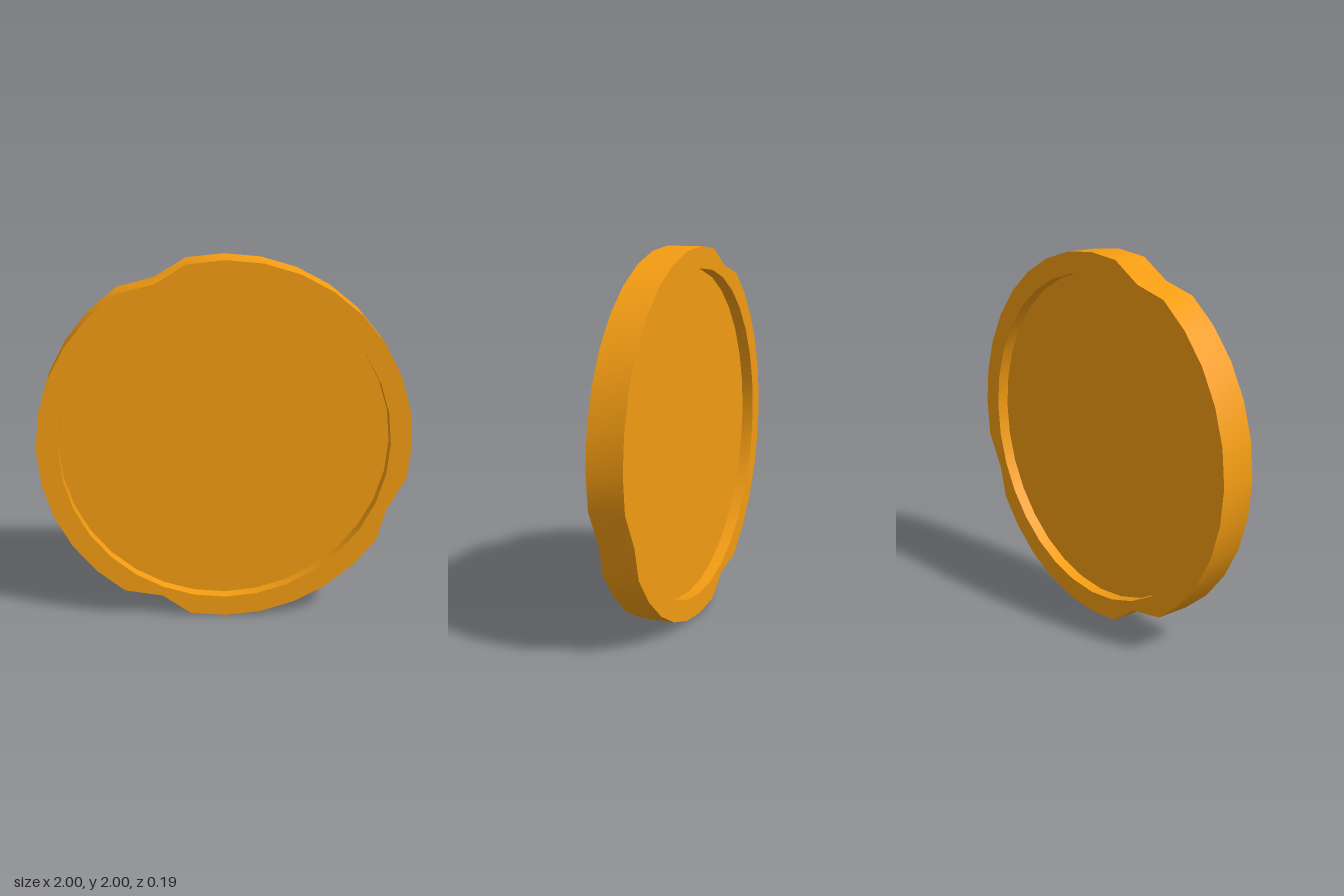
import * as THREE from 'three';
import { toCreasedNormals } from 'three/addons/utils/BufferGeometryUtils.js';

const SIDES = 32;
const THICKNESS = 0.19;
const RECESS = 0.065;
const INNER_RADIUS = 0.885;

// Regular polygon points around the origin
function ringPoints(radius) {
  return Array.from({ length: SIDES }, (_, i) => {
    const a = (i / SIDES) * Math.PI * 2;
    return new THREE.Vector2(Math.cos(a) * radius, Math.sin(a) * radius);
  });
}

export function createModel() {
  const coin = new THREE.Group();
  coin.name = 'coin';
  const gold = new THREE.MeshStandardMaterial({ color: 0xf39c12 });

  // Raised rim with three worn dents in its outer edge
  const outline = ringPoints(1);
  outline[10].set(-0.364, 0.88);
  outline[22].set(-0.348, -0.869);
  outline[30].set(0.877, -0.382);
  const shape = new THREE.Shape(outline);
  shape.holes.push(new THREE.Path(ringPoints(INNER_RADIUS).reverse()));
  const rimGeometry = new THREE.ExtrudeGeometry(shape, { depth: THICKNESS, bevelEnabled: false });
  rimGeometry.translate(0, 0, -THICKNESS / 2);
  const rim = new THREE.Mesh(toCreasedNormals(rimGeometry, 0.9), gold);
  rim.name = 'rim';
  rim.position.y = 1;
  coin.add(rim);

  // Flat faces, sunk below the rim on both sides
  const faceGeometry = new THREE.CylinderGeometry(INNER_RADIUS, INNER_RADIUS, THICKNESS - 2 * RECESS, SIDES);
  faceGeometry.rotateX(Math.PI / 2);
  const faces = new THREE.Mesh(faceGeometry, gold);
  faces.name = 'recessedFaces';
  faces.position.y = 1;
  coin.add(faces);

  return coin;
}
